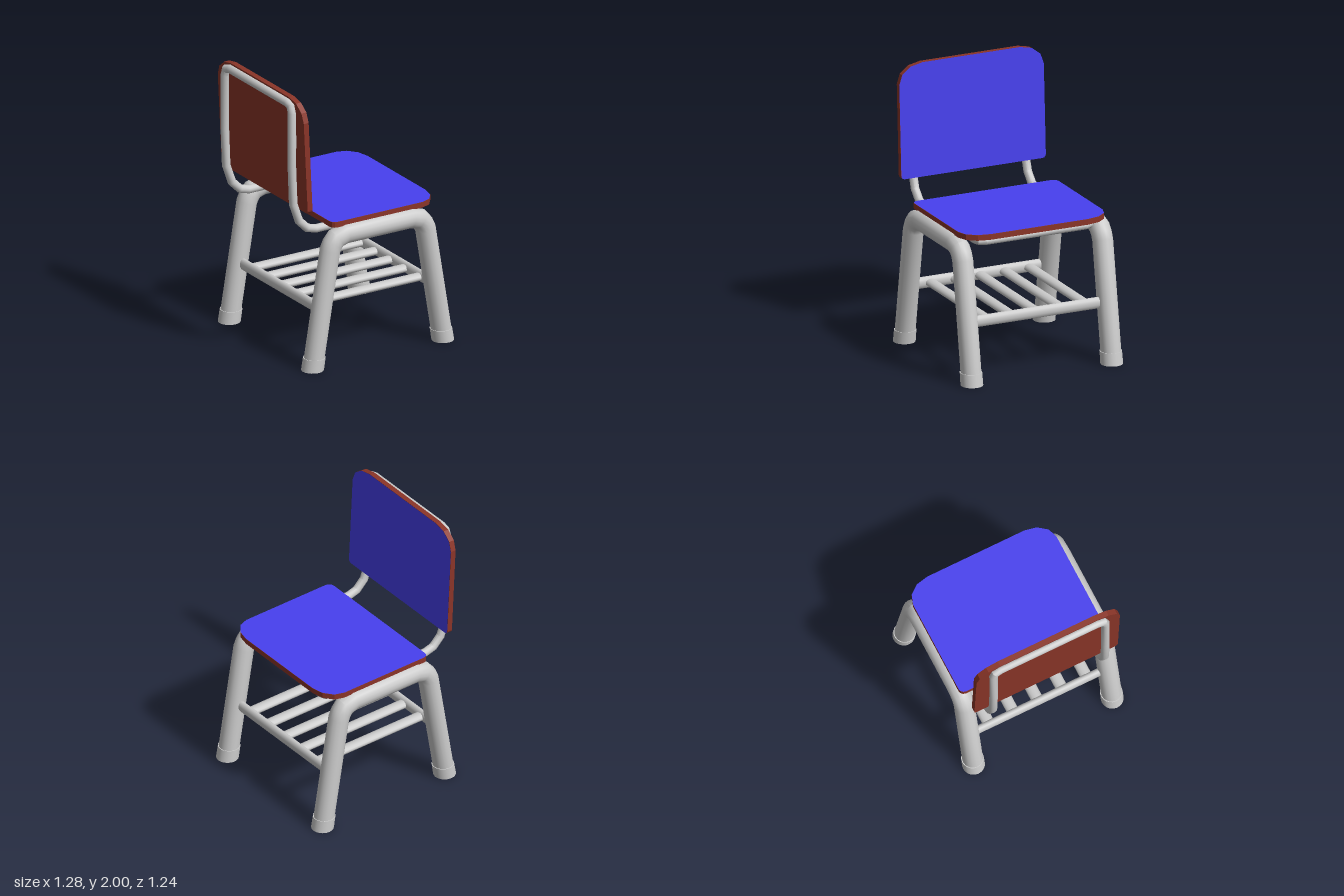
import * as THREE from 'three';
import { toCreasedNormals } from 'three/addons/utils/BufferGeometryUtils.js';

const metal = new THREE.MeshStandardMaterial({ color: 0xcccccc });
const wood = new THREE.MeshStandardMaterial({ color: 0x8b3528 });
const blue = new THREE.MeshStandardMaterial({ color: 0x4840f0 });
const V = (x, y, z) => new THREE.Vector3(x, y, z);

function add(parent, name, geometry, material) {
  const mesh = new THREE.Mesh(geometry, material);
  mesh.name = name;
  parent.add(mesh);
  return mesh;
}

// Round tube along a polyline with mitred joints; endNormal sets the plane of both end cuts
function pipe(points, radius, sides, endNormal) {
  const last = points.length - 1;
  const dirs = points.slice(1).map((p, i) => p.clone().sub(points[i]).normalize());
  const n = V(0, 0, 1);
  if (Math.abs(dirs[0].z) > 0.9) n.set(0, 1, 0);
  n.addScaledVector(dirs[0], -n.dot(dirs[0])).normalize();
  const b = dirs[0].clone().cross(n);
  const position = [], index = [];
  let ring = [];
  for (let j = 0; j <= sides; j++) {
    const a = (j / sides) * Math.PI * 2;
    ring.push(points[0].clone().addScaledVector(n, radius * Math.cos(a)).addScaledVector(b, radius * Math.sin(a)));
  }
  points.forEach((p, i) => {
    const along = dirs[Math.max(i - 1, 0)];
    const isEnd = i === 0 || i === last;
    const plane = isEnd ? endNormal || along : along.clone().add(dirs[i]).normalize();
    ring = ring.map((q) => q.clone().addScaledVector(along, p.clone().sub(q).dot(plane) / along.dot(plane)));
    ring.forEach((q) => position.push(q.x, q.y, q.z));
    if (i === last) return;
    for (let j = 0; j < sides; j++) {
      const k = i * (sides + 1) + j, m = k + sides + 1;
      index.push(k, k + 1, m, k + 1, m + 1, m);
    }
  });
  const g = new THREE.BufferGeometry();
  g.setAttribute('position', new THREE.Float32BufferAttribute(position, 3));
  g.setIndex(index);
  return toCreasedNormals(g, 0.6);
}

// Board outline: tight corners at the start, wide elliptical corners at the far end
function boardShape(length, tight) {
  const half = 0.558, wide = 0.182, deep = 0.142;
  const side = [];
  for (let i = 0; i <= 3; i++) {
    const a = (i / 3) * Math.PI / 2;
    side.push([half - tight + tight * Math.sin(a), tight - tight * Math.cos(a)]);
  }
  for (let i = 0; i <= 3; i++) {
    const a = (i / 3) * Math.PI / 2;
    side.push([half - wide + wide * Math.cos(a), length - deep + deep * Math.sin(a)]);
  }
  const other = side.map(([x, y]) => [-x, y]).reverse();
  return new THREE.Shape([...side, ...other].map(([x, y]) => new THREE.Vector2(x, y)));
}

// Wooden board with a coloured face, placed by its origin, length direction and facing direction
function board(parent, name, length, tight, origin, along, facing) {
  const group = new THREE.Group();
  group.name = name;
  const shape = boardShape(length, tight);
  add(group, name + 'Board', new THREE.ExtrudeGeometry(shape, { depth: 0.04, bevelEnabled: false }), wood);
  add(group, name + 'Surface', new THREE.ShapeGeometry(shape), blue).position.z = 0.042;
  group.quaternion.setFromRotationMatrix(new THREE.Matrix4().makeBasis(along.clone().cross(facing), along, facing));
  group.position.copy(origin);
  parent.add(group);
}

export function createModel() {
  const chair = new THREE.Group();
  chair.name = 'chair';
  const midX = 0.025, sideZ = 0.54, footX = 0.535, slope = 0.166;

  // Two arched side frames, each one bent tube forming a back and a front leg
  const arch = [[footX, 0], [footX - 0.86 * slope, 0.86], [0.372, 0.905], [0.342, 0.94], [0.27, 0.963]];
  for (const s of [-1, 1]) {
    const pts = [
      ...arch.map(([x, y]) => V(midX - x, y, s * sideZ)),
      ...arch.slice().reverse().map(([x, y]) => V(midX + x, y, s * sideZ)),
    ];
    add(chair, 'sideFrame', pipe(pts, 0.073, 16, V(0, 1, 0)), metal);

    // Foot caps, leaning with the legs
    for (const e of [-1, 1]) {
      const foot = new THREE.CylinderGeometry(0.079, 0.08, 0.09, 20);
      foot.applyMatrix4(new THREE.Matrix4().makeShear(0, 0, -e * slope, 0, 0, 0));
      add(chair, 'footCap', foot, metal)
        .position.set(midX + e * (footX - 0.045 * slope), 0.045, s * sideZ);
    }
  }

  // Rack under the seat: two rails between the legs and five flattened rods
  const rackY = 0.432, railX = 0.463;
  for (const e of [-1, 1]) {
    const rail = add(chair, 'rackRail', new THREE.CylinderGeometry(0.0425, 0.0425, 2 * sideZ - 0.1, 14), metal);
    rail.rotation.x = Math.PI / 2;
    rail.scale.x = 0.65;
    rail.position.set(midX + e * railX, rackY, 0);
  }
  for (let i = -2; i <= 2; i++) {
    const rod = add(chair, 'rackRod', new THREE.CylinderGeometry(0.0425, 0.0425, 2 * railX - 0.02, 14), metal);
    rod.rotation.z = Math.PI / 2;
    rod.scale.x = 0.65;
    rod.position.set(midX, rackY, i * 0.19);
  }

  // Closed thin tube that carries the seat and bends up behind the backrest
  const half = [
    [0.455, 1, 0], [0.455, 1, 0.38], [0.44, 1, 0.42], [0.4, 1, 0.435], [-0.42, 1, 0.435],
    [-0.49, 1.02, 0.435], [-0.555, 1.085, 0.435], [-0.602, 1.22, 0.435], [-0.613, 1.5, 0.435],
    [-0.612, 1.9, 0.435], [-0.611, 1.945, 0.42], [-0.61, 1.96, 0.375],
  ];
  const loop = [
    ...half.map(([x, y, z]) => V(x, y, z)),
    ...half.slice().reverse().map(([x, y, z]) => V(x, y, -z)),
  ];
  add(chair, 'seatAndBackTube', pipe(loop, 0.03, 12), metal);

  // Seat and leaning backrest
  board(chair, 'seat', 0.878, 0.04, V(-0.355, 1.026, 0), V(1, 0, 0), V(0, 1, 0));
  const up = V(-0.04, 0.823, 0).normalize();
  board(chair, 'backrest', 0.824, 0.025, V(-0.56, 1.176, 0), up, V(up.y, -up.x, 0));

  return chair;
}
